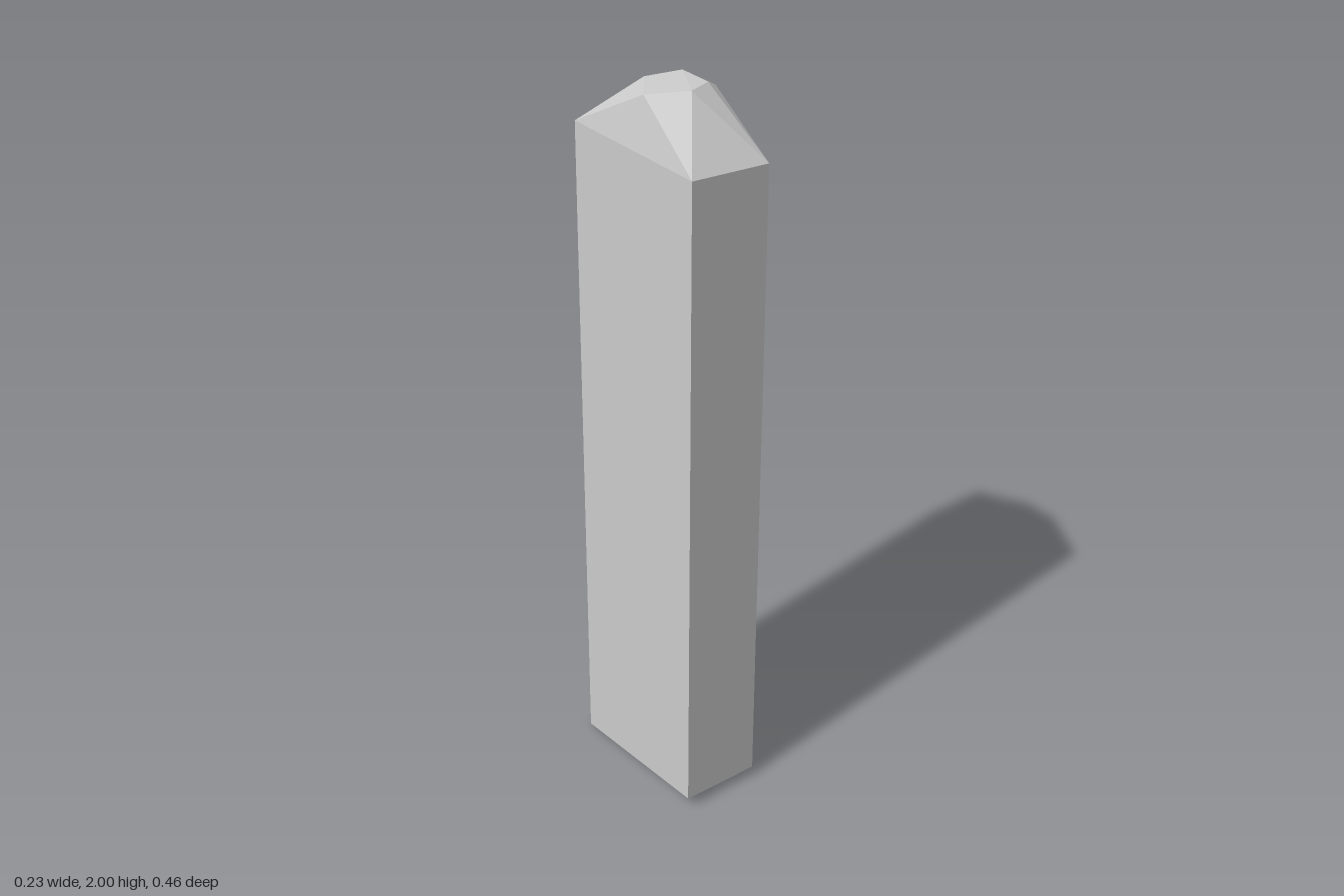
import * as THREE from 'three';
import { ConvexGeometry } from 'three/addons/geometries/ConvexGeometry.js';

const W = 0.113; // half width
const D = 0.228; // half depth

export function createModel() {
  const group = new THREE.Group();
  group.name = 'stonePillar';

  // Shaft corners: [x sign, z sign, slanted base height, shoulder height]
  const corners = [
    [-1, 1, 0.035, 1.855],
    [1, 1, 0.03, 1.84],
    [1, -1, 0.012, 1.855],
    [-1, -1, 0, 1.855],
  ];
  const points = [];
  for (const [sx, sz, base, shoulder] of corners) {
    points.push(new THREE.Vector3(sx * W, base, sz * D));
    points.push(new THREE.Vector3(sx * W, shoulder, sz * D));
  }

  // Irregular chipped crown
  const crown = [
    [-0.086, 1.988, 0.012],
    [-0.003, 2.0, 0.085],
    [0.062, 2.0, 0.063],
    [0.09, 1.984, 0.056],
    [0.104, 1.965, 0.0],
    [0.09, 1.984, -0.05],
    [0.063, 2.0, -0.035],
    [-0.015, 1.988, -0.08],
  ];
  for (const p of crown) points.push(new THREE.Vector3(...p));

  // One faceted convex block
  const material = new THREE.MeshStandardMaterial({ color: 0xcccccc, flatShading: true });
  const pillar = new THREE.Mesh(new ConvexGeometry(points), material);
  pillar.name = 'pillarBlock';
  group.add(pillar);
  return group;
}
